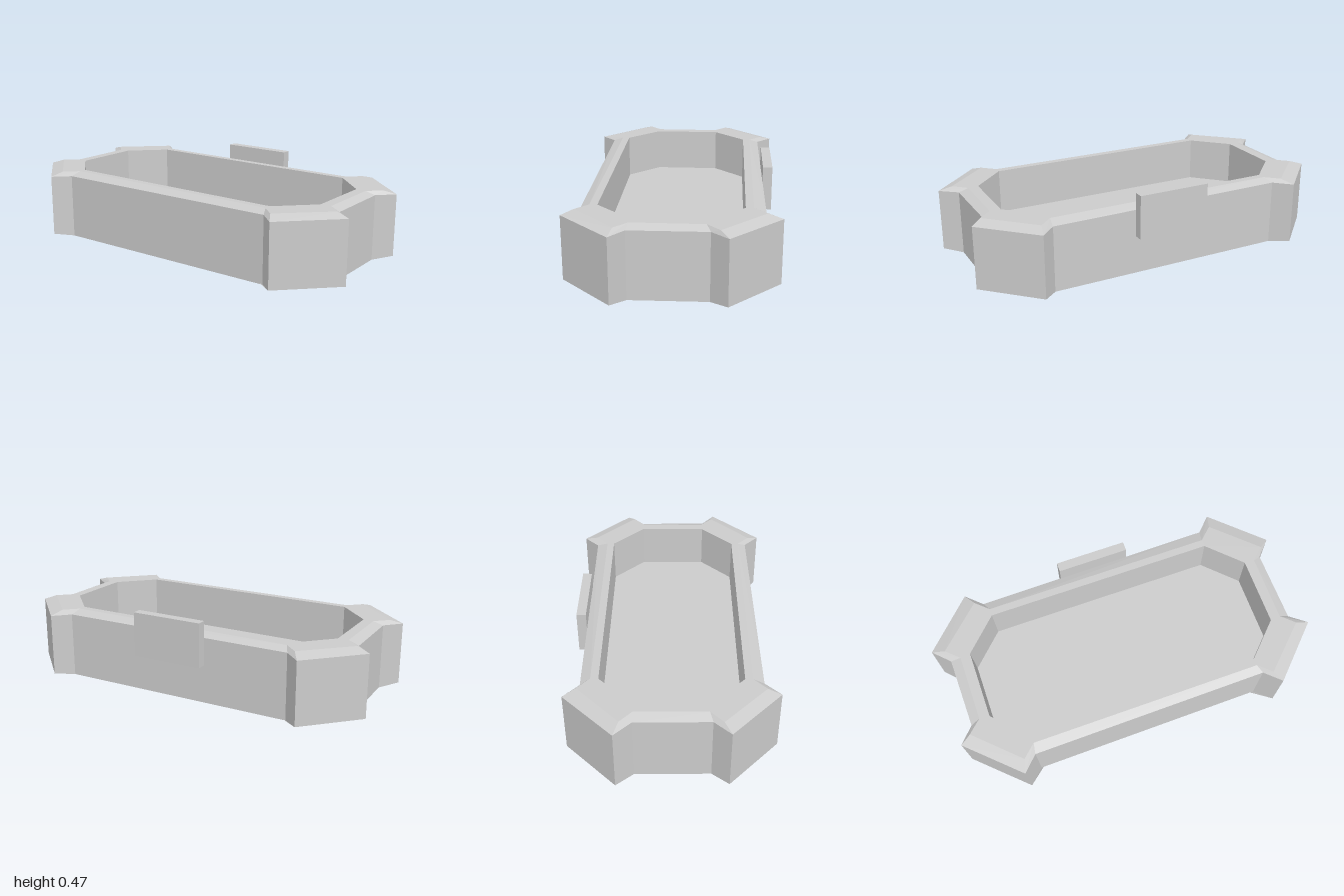
import * as THREE from 'three';

const grey = () => new THREE.MeshStandardMaterial({ color: 0xcccccc, flatShading: true });

// Mirrors one corner (points ordered front to side) into a full counter-clockwise outline
function mirrorCorner(corner) {
  const back = [...corner].reverse();
  return [
    ...corner,
    ...back.map(([x, z]) => [x, -z]),
    ...corner.map(([x, z]) => [-x, -z]),
    ...back.map(([x, z]) => [-x, z]),
  ];
}

// Chamfered rectangle with doubled points, so it matches the 16-point outline
const octagon = (a, b) => mirrorCorner([a, a, b, b]);

// Lifts an outline to a height; every corner's two middle points may differ in height
const ring = (points, y, yTip = y) => points.map(([x, z], i) =>
  new THREE.Vector3(x, i % 4 === 1 || i % 4 === 2 ? yTip : y, z));

const centre = (y) => Array.from({ length: 16 }, () => new THREE.Vector3(0, y, 0));

// Skins consecutive rings with flat facets, leaving out collapsed triangles
function skin(rings) {
  const pos = [];
  const tri = (a, b, c) => {
    if (new THREE.Triangle(a, b, c).getArea() > 1e-7) {
      pos.push(...a.toArray(), ...b.toArray(), ...c.toArray());
    }
  };
  for (let r = 0; r < rings.length - 1; r++) {
    const lo = rings[r], hi = rings[r + 1];
    for (let i = 0; i < lo.length; i++) {
      const j = (i + 1) % lo.length;
      tri(lo[i], lo[j], hi[j]);
      tri(lo[i], hi[j], hi[i]);
    }
  }
  const geo = new THREE.BufferGeometry();
  geo.setAttribute('position', new THREE.Float32BufferAttribute(pos, 3));
  geo.computeVertexNormals();
  return geo;
}

export function createModel() {
  const group = new THREE.Group();
  const add = (name, geometry) => {
    const mesh = new THREE.Mesh(geometry, grey());
    mesh.name = name;
    group.add(mesh);
    return mesh;
  };

  // Outer wall: straight sides with a projecting block at each, slightly skewed, corner
  const wall = [
    [0.65, 0.445], [0.735, 0.525], [1.0, 0.26], [0.91, 0.19],
    [0.905, -0.2], [0.985, -0.285], [0.72, -0.54], [0.64, -0.46],
    [-0.655, -0.45], [-0.74, -0.53], [-1.0, -0.27], [-0.915, -0.185],
    [-0.91, 0.195], [-0.99, 0.28], [-0.72, 0.535], [-0.64, 0.455],
  ];
  const rim = mirrorCorner([[0.63, 0.4], [0.7, 0.465], [0.93, 0.245], [0.86, 0.18]]);
  const basin = octagon([0.63, 0.36], [0.805, 0.185]);
  const foot = octagon([0.53, 0.373], [0.745, 0.155]);

  // Body: underside, walls, bevelled rim, then down into the basin
  add('basinBody', skin([
    ring(foot, 0.03),
    ring(wall, 0.03, 0.045),
    ring(wall, 0.38),
    ring(rim, 0.4),
    ring(basin, 0.4),
    ring(basin, 0.155),
    centre(0.155),
  ]));

  // Foot plate under the body
  add('footPlate', skin([centre(0), ring(foot, 0), ring(foot, 0.03)]));

  // Upright panel on the back wall
  add('backPanel', new THREE.BoxGeometry(0.39, 0.235, 0.05)).position.set(-0.005, 0.3525, -0.48);

  return group;
}
